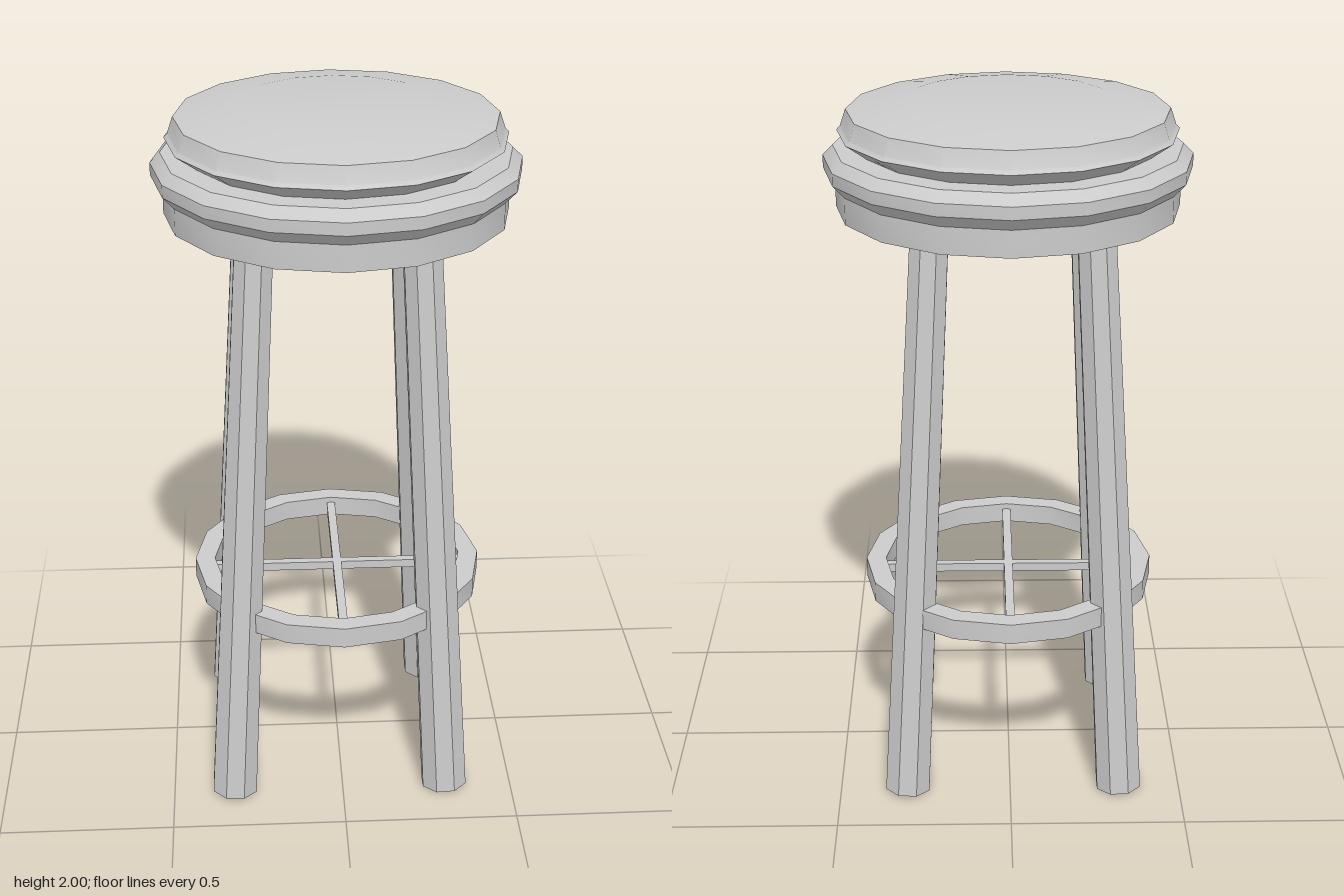
import * as THREE from 'three';
import { toCreasedNormals } from 'three/addons/utils/BufferGeometryUtils.js';

const SIDES = 16;
const CREASE = Math.PI / 6;

export function createModel() {
  const stool = new THREE.Group();
  stool.name = 'stool';
  const material = new THREE.MeshStandardMaterial({ color: 0xcccccc });

  const add = (name, geometry) => {
    const mesh = new THREE.Mesh(geometry, material);
    mesh.name = name;
    stool.add(mesh);
    return mesh;
  };
  // Sixteen-sided turned part from [radius, height] pairs, listed bottom to top
  const turned = (name, profile) => {
    const points = profile.map(([r, y]) => new THREE.Vector2(r, y));
    return add(name, toCreasedNormals(new THREE.LatheGeometry(points, SIDES), CREASE));
  };

  // Seat base: hollow apron with a bevelled moulding above it
  turned('seatBase', [
    [0, 1.76], [0.455, 1.76], [0.455, 1.7], [0.476, 1.7], [0.476, 1.775],
    [0.508, 1.81], [0.508, 1.845], [0.48, 1.873], [0, 1.873],
  ]);

  // Cushion: undercut below, slightly domed on top
  turned('cushion', [
    [0.41, 1.873], [0.468, 1.915], [0.458, 1.925], [0.442, 1.972], [0.28, 2], [0, 2],
  ]);

  // Four tapered octagonal legs, splayed towards the corners
  const offset = new THREE.Vector3(-0.009, 0, 0.008);
  const up = new THREE.Vector3(0, 1, 0);
  for (const sx of [-1, 1]) {
    for (const sz of [-1, 1]) {
      const foot = new THREE.Vector3(sx * 0.312, 0.006, sz * 0.312).add(offset);
      const head = new THREE.Vector3(sx * 0.219, 1.78, sz * 0.219).add(offset);
      const axis = head.clone().sub(foot);
      const shape = new THREE.CylinderGeometry(0.055, 0.069, axis.length(), 8);
      shape.rotateY(Math.PI / 8);
      const leg = add(
        (sz > 0 ? 'front' : 'back') + (sx > 0 ? 'Left' : 'Right') + 'Leg',
        toCreasedNormals(shape, CREASE),
      );
      leg.position.copy(foot).add(head).multiplyScalar(0.5);
      leg.quaternion.setFromUnitVectors(up, axis.normalize());
    }
  }

  // Footrest ring
  turned('footRing', [
    [0.365, 0.55], [0.423, 0.55], [0.423, 0.61], [0.365, 0.61], [0.365, 0.55],
  ]);

  // Crossed bars inside the ring
  add('crossBarX', new THREE.BoxGeometry(0.75, 0.025, 0.025)).position.y = 0.58;
  add('crossBarZ', new THREE.BoxGeometry(0.025, 0.025, 0.75)).position.y = 0.58;

  return stool;
}
